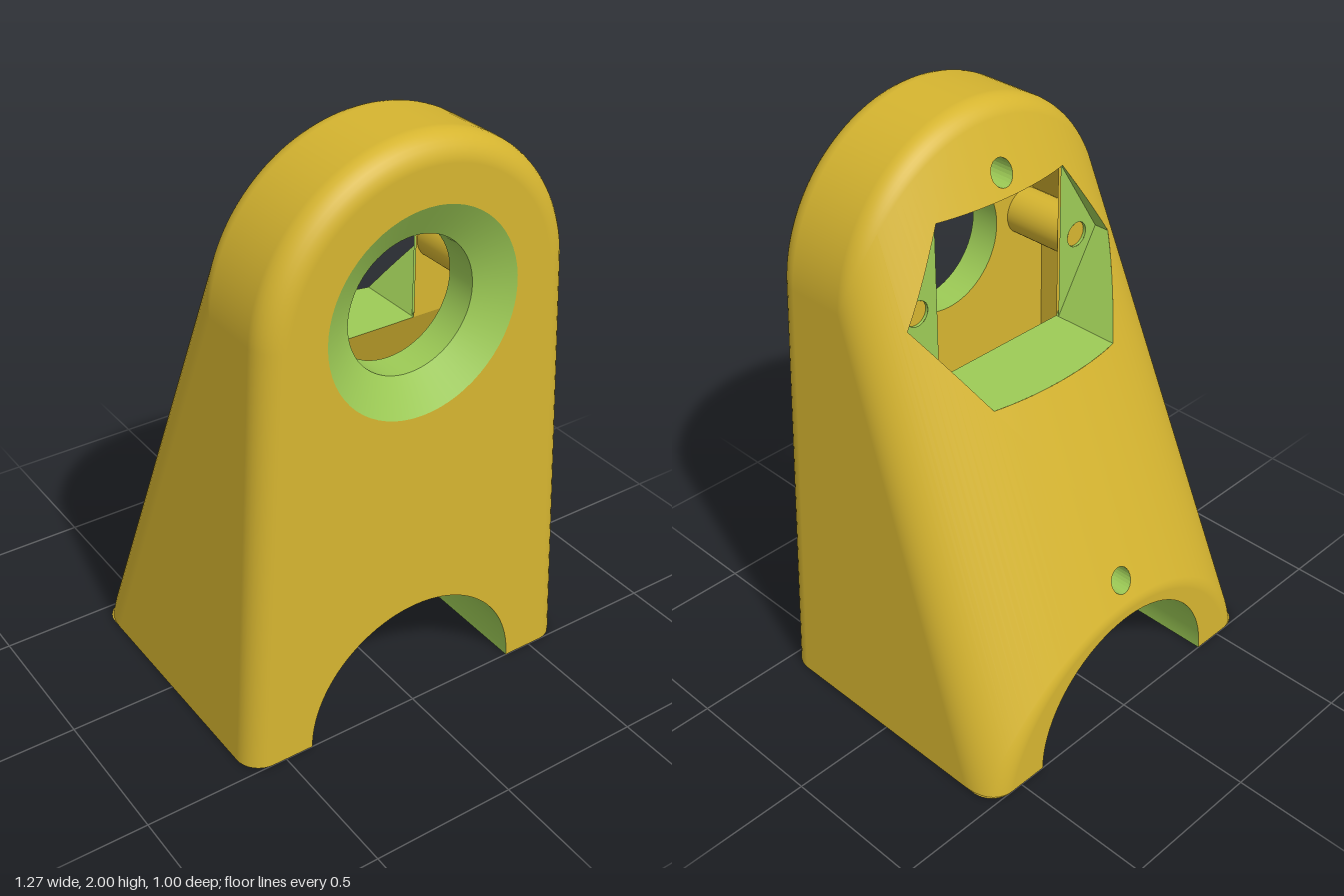
import * as THREE from 'three';

const gold = new THREE.MeshStandardMaterial({ color: 0xd6b530, side: THREE.DoubleSide });
gold.name = 'gold';
const green = new THREE.MeshStandardMaterial({ color: 0x9dcb56, side: THREE.DoubleSide });
green.name = 'green';

// Two rounded discs; the body is the skin stretched over both
const UP = { y: 1.45, r: 0.55, back: 0.21 };
const LOW = { y: -0.13, r: 0.64, back: -0.415 };
const FRONT = 0.415, F = 0.085, HALF = Math.PI / 2;
const ARCH = 0.4, DUCT = 0.27, FLOOR = 0.6, DUCT_BACK = -0.16, WALL = 0.32, LEDGE = 0.08;
const HEX = [[0.27, 1.18], [0.44, 1.455], [0.27, 1.73], [-0.27, 1.73], [-0.44, 1.455], [-0.27, 1.18]];

// Vertex with position and normal: [x, y, z, nx, ny, nz]
function rim(disc, a, p, zc) {
  const c = Math.cos(p), s = Math.sin(p), d = disc.r - F + F * c;
  return [d * Math.cos(a), disc.y + d * Math.sin(a), zc + F * s, c * Math.cos(a), c * Math.sin(a), s];
}

function column(a, side) {
  const n = 8, col = [], top = side ? LOW : UP;
  const lean = Math.max(0, Math.atan(((UP.y - LOW.y) * Math.sin(a) - (LOW.r - UP.r)) / (UP.back - LOW.back)));
  for (let i = 0; i <= n; i++) col.push(rim(top, a, HALF * (1 - i / n), FRONT));
  for (let i = 0; i <= n; i++) col.push(rim(top, a, -lean * i / n, top.back));
  for (let i = 0; i <= n; i++) col.push(rim(LOW, a, -lean - (HALF - lean) * i / n, LOW.back));
  return col;
}

// Cut a convex polygon by the line a-b: [part to the right, part to the left]
function split(poly, a, b) {
  const dist = v => (b[0] - a[0]) * (v[1] - a[1]) - (b[1] - a[1]) * (v[0] - a[0]);
  const out = [], inside = [];
  poly.forEach((v, i) => {
    const w = poly[(i + 1) % poly.length], dv = dist(v), dw = dist(w);
    (dv >= 0 ? inside : out).push(v);
    if ((dv >= 0) !== (dw >= 0)) {
      const m = v.map((c, k) => c + (w[k] - c) * dv / (dv - dw));
      inside.push(m);
      out.push(m);
    }
  });
  return [out, inside];
}

// Remove a convex counter-clockwise region from polygons, seen along z
function subtract(polys, region) {
  return polys.flatMap(poly => {
    let rest = poly;
    const kept = [];
    for (let i = 0; i < region.length; i++) {
      const [out, inside] = split(rest, region[i], region[(i + 1) % region.length]);
      if (out.length > 2) kept.push(out);
      rest = inside;
      if (rest.length < 3) return [poly];
    }
    return kept;
  });
}

function circle(x, y, r, n = 32) {
  return Array.from({ length: n }, (_, i) => [x + r * Math.cos(i * 2 * Math.PI / n), y + r * Math.sin(i * 2 * Math.PI / n)]);
}

// Polygons with normals to a geometry facing along those normals
function toGeometry(polys) {
  const pos = [], nor = [], A = new THREE.Vector3(), B = new THREE.Vector3(), N = new THREE.Vector3();
  for (const p of polys) for (let i = 1; i < p.length - 1; i++) {
    let t = [p[0], p[i], p[i + 1]];
    A.set(...t[1].slice(0, 3)).sub(N.set(...t[0].slice(0, 3)));
    B.set(...t[2].slice(0, 3)).sub(N);
    A.cross(B);
    if (A.length() < 1e-10) continue;
    if (A.x * t[0][3] + A.y * t[0][4] + A.z * t[0][5] < 0) t = [t[0], t[2], t[1]];
    for (const v of t) { pos.push(v[0], v[1], v[2]); nor.push(v[3], v[4], v[5]); }
  }
  const g = new THREE.BufferGeometry();
  g.setAttribute('position', new THREE.Float32BufferAttribute(pos, 3));
  g.setAttribute('normal', new THREE.Float32BufferAttribute(nor, 3));
  return g;
}

// Wall along a path in xy, running in z between two depth rules
function wall(path, z0, z1) {
  const pos = [], steps = 8;
  for (let i = 0; i < path.length - 1; i++) for (let k = 0; k < steps; k++) {
    const at = t => [0, 1].map(c => path[i][c] + (path[i + 1][c] - path[i][c]) * t);
    const a = at(k / steps), b = at((k + 1) / steps);
    const q = [[...a, z0(...a)], [...b, z0(...b)], [...b, z1(...b)], [...a, z1(...a)]];
    pos.push(...q[0], ...q[1], ...q[2], ...q[0], ...q[2], ...q[3]);
  }
  const g = new THREE.BufferGeometry();
  g.setAttribute('position', new THREE.Float32BufferAttribute(pos, 3));
  g.computeVertexNormals();
  return g;
}

const flat = z => () => z;
const shapeOf = pts => new THREE.Shape(pts.map(p => new THREE.Vector2(...p)));
const holeOf = (x, y, r) => new THREE.Path().absarc(x, y, r, 0, Math.PI * 2, true);

// Open round tube along z
function tube(r0, r1, z0, z1, n = 64, start = 0, sweep = Math.PI * 2) {
  return new THREE.CylinderGeometry(r1, r0, z1 - z0, n, 1, true, start, sweep)
    .rotateX(HALF).translate(0, 0, (z0 + z1) / 2);
}

export function createModel() {
  const model = new THREE.Group();
  model.name = 'bracket';
  const add = (name, geometry, material) => {
    const m = new THREE.Mesh(geometry, material);
    m.name = name;
    model.add(m);
    return m;
  };

  // Outer skin
  const a0 = Math.asin((LOW.r - UP.r) / (UP.y - LOW.y)), cols = [column(a0, true)], n = 64;
  for (let i = 0; i <= n; i++) cols.push(column(a0 + (Math.PI - 2 * a0) * i / n, false));
  cols.push(column(Math.PI - a0, true));
  let shell = [], front = [], back = [];
  cols.forEach((c, i) => {
    const d = cols[(i + 1) % cols.length], e = c.length - 1;
    front.push([c[0], d[0], [0, 1, 0.5, 0, 0, 1]]);
    back.push([c[e], d[e], [0, -0.1, -0.5, 0, 0, -1]]);
    if (i < cols.length - 1) for (let j = 0; j < e; j++) {
      shell.push([c[j], d[j], d[j + 1]], [c[j], d[j + 1], c[j + 1]]);
    }
  });

  // Depth of the sloping back at a point
  const slope = shell.filter(t => t.every(v => v[5] < -0.01));
  const backZ = (x, y) => {
    for (const [a, b, c] of slope) {
      const D = (b[1] - c[1]) * (a[0] - c[0]) + (c[0] - b[0]) * (a[1] - c[1]);
      if (Math.abs(D) < 1e-12) continue;
      const u = ((b[1] - c[1]) * (x - c[0]) + (c[0] - b[0]) * (y - c[1])) / D;
      const v = ((c[1] - a[1]) * (x - c[0]) + (a[0] - c[0]) * (y - c[1])) / D;
      if (u > -1e-6 && v > -1e-6 && u + v < 1 + 1e-6) return u * a[2] + v * b[2] + (1 - u - v) * c[2];
    }
    return -0.5;
  };

  // Openings through the skin
  const ground = [[-2, -2], [2, -2], [2, 0], [-2, 0]];
  const arch = [...circle(0, 0, ARCH, 96).slice(0, 49), [-ARCH, -0.3], [ARCH, -0.3]];
  const backScrews = [[1.8, 0.28], [0.53, -0.25]];
  for (const r of [ground, arch]) [shell, front, back] = [shell, front, back].map(s => subtract(s, r));
  front = subtract(front, circle(0, 1.455, 0.34, 64));
  shell = subtract(shell, HEX);
  for (const [y] of backScrews) shell = subtract(shell, circle(0, y, 0.043, 24));
  add('body', toGeometry([...shell, ...front, ...back]), gold);

  // Countersunk front hole
  add('countersink', tube(0.225, 0.34, 0.43, 0.5).translate(0, 1.455, 0), green);
  add('bore', tube(0.225, 0.225, WALL, 0.43).translate(0, 1.455, 0), green);

  // Hexagonal pocket in the sloping back
  add('pocketWalls', wall([...HEX, HEX[0]], backZ, flat(LEDGE + 0.01)), green);
  for (const s of [1, -1]) {
    const ledge = shapeOf([[0.27, 1.18], [0.44, 1.455], [0.27, 1.73]]);
    ledge.holes.push(holeOf(0.35, 1.455, 0.043));
    add('pocketLedge', new THREE.ShapeGeometry(ledge, 16).translate(0, 0, LEDGE), green).scale.x = s;
    add('screwBoss', tube(0.08, 0.08, LEDGE + 0.01, WALL, 32).translate(0.355, 1.455, 0), gold).scale.x = s;
    add('ledgeScrewHole', tube(0.043, 0.043, LEDGE, WALL, 24).translate(0.35, 1.455, 0), green).scale.x = s;
    const edge = shapeOf([[0.27, 1.18], [0.44, 1.18], [0.44, 1.455], [0.27, 1.73]]);
    add('cavityBackEdge', new THREE.ShapeGeometry(edge).translate(0, 0, LEDGE + 0.01), gold).scale.x = s;
  }

  // Screw holes in the sloping back
  for (const [y, end] of backScrews) {
    const ring = circle(0, y, 0.043, 24);
    add('backScrewHole', wall([...ring, ring[0]], backZ, flat(end)), green);
    add('backScrewHoleEnd', new THREE.CircleGeometry(0.043, 24).translate(0, y, end), green);
  }

  // Inner cavity
  const cavityBack = (x, y) => LEDGE + 0.01 - Math.max(0, 1.18 - y) * (LEDGE + 0.01 - DUCT_BACK) / (1.18 - FLOOR);
  const side = [[DUCT, FLOOR], [0.44, FLOOR], [0.44, 1.18], [0.44, 1.455], [0.27, 1.73]];
  const cavity = [...side, ...side.map(([x, y]) => [-x, y]).reverse()];
  add('cavityWalls', wall(cavity, cavityBack, flat(WALL)), gold);
  const panel = shapeOf(cavity);
  panel.holes.push(holeOf(0, 1.455, 0.225));
  add('cavityFront', new THREE.ShapeGeometry(panel, 32).translate(0, 0, WALL), gold);
  const slant = new THREE.PlaneGeometry(0.88, 1.18 - FLOOR).translate(0, (1.18 + FLOOR) / 2, 0);
  const sp = slant.attributes.position;
  for (let i = 0; i < sp.count; i++) sp.setZ(i, cavityBack(0, sp.getY(i)));
  slant.computeVertexNormals();
  add('cavityBack', slant, gold);

  // Arch tunnel with a duct up into the cavity
  const half = Math.asin(DUCT / ARCH), cut = HALF - half;
  add('archBack', tube(ARCH, ARCH, -0.5, DUCT_BACK, 48, HALF, Math.PI), green);
  add('archFront', tube(ARCH, ARCH, WALL, 0.5, 48, HALF, Math.PI), green);
  add('archSide', tube(ARCH, ARCH, DUCT_BACK, WALL, 16, HALF, cut), green);
  add('archSide', tube(ARCH, ARCH, DUCT_BACK, WALL, 16, Math.PI + half, cut), green);
  const low = Math.sqrt(ARCH * ARCH - DUCT * DUCT);
  for (const x of [DUCT, -DUCT]) add('ductSide', wall([[x, low], [x, FLOOR]], flat(DUCT_BACK), flat(WALL)), green);
  const end = shapeOf([[-DUCT, FLOOR], [DUCT, FLOOR], [DUCT, low]]);
  end.absarc(0, 0, ARCH, cut, Math.PI - cut, false);
  for (const z of [DUCT_BACK, WALL]) add('ductEnd', new THREE.ShapeGeometry(end, 24).translate(0, 0, z), green);

  // Feet with screw holes
  for (const s of [1, -1]) {
    const w = 0.633, foot = shapeOf([[ARCH, -0.5], [w - F, -0.5]]);
    foot.absarc(w - F, -0.5 + F, F, -HALF, 0, false);
    foot.absarc(w - F, 0.5 - F, F, 0, HALF, false);
    foot.lineTo(ARCH, 0.5);
    for (const z of [-0.32, 0.32]) {
      foot.holes.push(holeOf(0.51, z, 0.037));
      const hole = new THREE.LatheGeometry([[0, 0.2], [0.037, 0.2], [0.037, 0]].map(p => new THREE.Vector2(...p)), 24);
      add('footScrewHole', hole.translate(0.51, 0, z), green).scale.x = s;
    }
    add('foot', new THREE.ShapeGeometry(foot, 12).rotateX(HALF), gold).scale.x = s;
  }
  return model;
}
